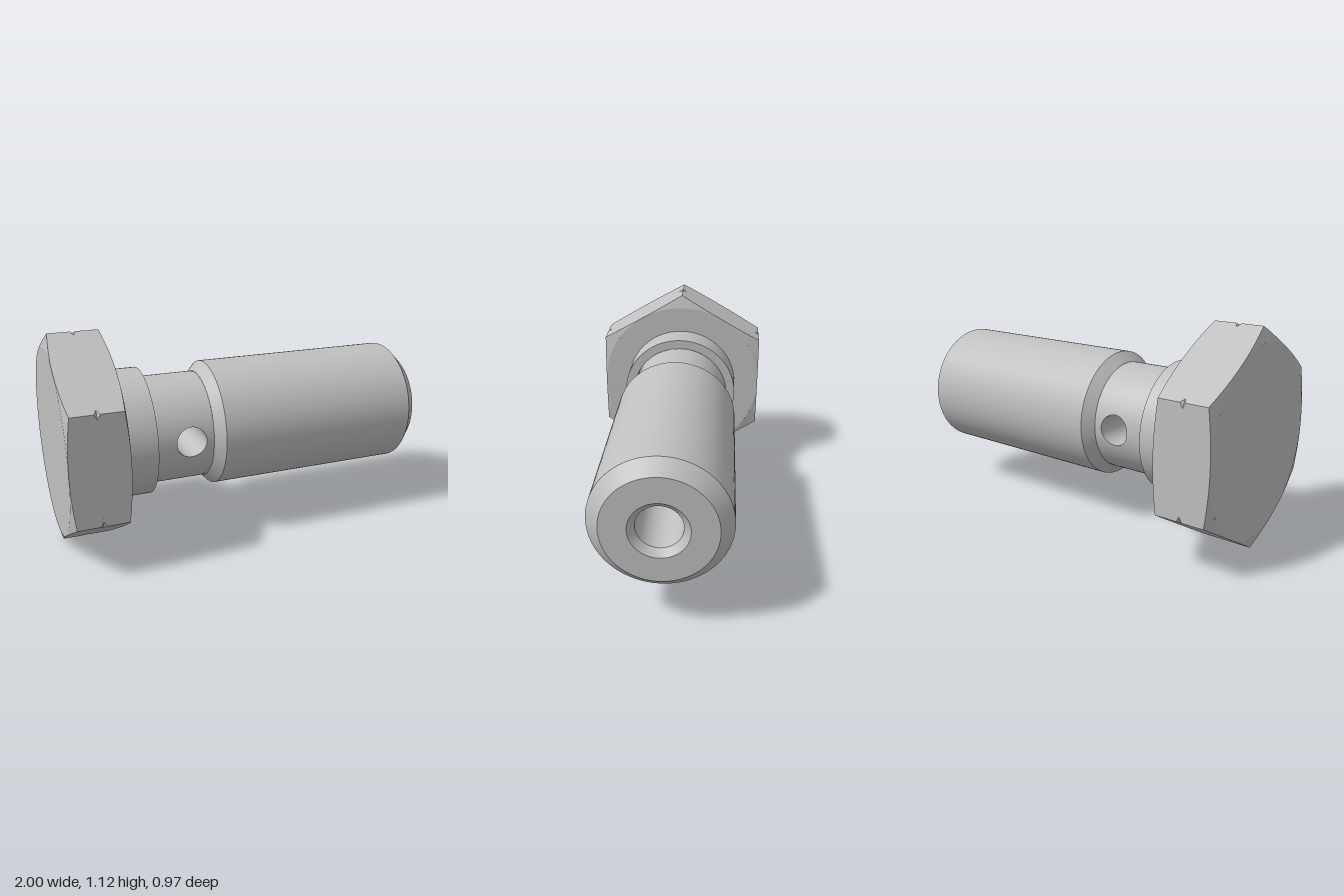
import * as THREE from 'three';

const AXIS_Y = 0.56;                       // height of the bolt axis
const APOTHEM = 0.485, GROOVE_R = 0.547;   // hex head
const HEAD_A = -1, HEAD_B = -0.705, GROOVE_X = -0.853;
const BODY_R = 0.337, NECK_R = 0.286;
const NECK_A = -0.53, NECK_B = -0.22;
const HOLE_X = -0.34, HOLE_R = 0.08;
const SEG = 96;

// Surface over columns x rows; its front side is (column direction) x (row direction).
// Without a normal rule every facet is flat.
function surface(cols, rows, point, normal) {
  const pos = [], nor = [];
  const add = (i, j) => {
    pos.push(...point(i, j));
    if (normal) nor.push(...normal(i, j));
  };
  for (let i = 0; i < cols; i++) {
    for (let j = 0; j < rows; j++) {
      add(i, j); add(i + 1, j); add(i + 1, j + 1);
      add(i, j); add(i + 1, j + 1); add(i, j + 1);
    }
  }
  const g = new THREE.BufferGeometry();
  g.setAttribute('position', new THREE.Float32BufferAttribute(pos, 3));
  if (normal) g.setAttribute('normal', new THREE.Float32BufferAttribute(nor, 3));
  else g.computeVertexNormals();
  return g;
}

export function createModel() {
  const steel = new THREE.MeshStandardMaterial({ color: 0xc0c0c0 });
  steel.name = 'steel';
  const bolt = new THREE.Group();
  bolt.name = 'hollowBolt';
  bolt.position.y = AXIS_Y;

  const add = (name, geometry, parent = bolt) => {
    const mesh = new THREE.Mesh(geometry, steel);
    mesh.name = name;
    parent.add(mesh);
  };

  // Turned part: one lathe band per [radius, x] step, so every edge stays sharp
  const turned = (name, profile) => {
    const part = new THREE.Group();
    part.name = name;
    for (let i = 0; i + 1 < profile.length; i++) {
      const pts = [profile[i], profile[i + 1]].map(([r, x]) => new THREE.Vector2(r, x));
      add(name + 'Band', new THREE.LatheGeometry(pts, SEG).rotateZ(-Math.PI / 2), part);
    }
    bolt.add(part);
  };

  // Hex head: chamfered at both ends, with a V groove that nicks the six corners
  const faceAngles = [-30, -28.8, -27.55, -24, -18, -12, -6, 0, 6, 12, 18, 24, 27.55, 28.8];
  const angles = [];
  for (let k = 0; k < 6; k++) {
    for (const d of faceAngles) angles.push([30 + 60 * k + d, d]);
  }
  angles.push([360, -30]);
  const headPoint = (i, j) => {
    const [deg, d] = angles[i];
    const a = THREE.MathUtils.degToRad(deg);
    const h = APOTHEM / Math.cos(THREE.MathUtils.degToRad(d));
    const c = (h - APOTHEM) * 0.27;
    const w = Math.max(0, h - GROOVE_R) * 1.1;
    const [r, x] = [
      [APOTHEM, HEAD_A], [h, HEAD_A + c], [h, GROOVE_X - w],
      [Math.min(h, GROOVE_R), GROOVE_X],
      [h, GROOVE_X + w], [h, HEAD_B - c], [APOTHEM, HEAD_B],
    ][j];
    return [x, r * Math.cos(a), r * Math.sin(a)];
  };
  add('hexHead', surface(angles.length - 1, 6, headPoint));
  turned('headEndFace', [[0, HEAD_A], [APOTHEM, HEAD_A]]);

  // Collar under the head, down to the neck
  turned('collar', [[APOTHEM, HEAD_B], [BODY_R, HEAD_B], [BODY_R, NECK_A], [NECK_R, NECK_A]]);

  // Neck: two half cylinders, each spread from the hole edge to the half's border
  const RINGS = 20;
  for (const s of [1, -1]) {
    const neckAt = (i, j) => {
      const a = -s * 2 * Math.PI * i / SEG, t = j / RINGS;
      const c = Math.cos(a), n = Math.sin(a);
      const m = Math.max(Math.abs(c), Math.abs(n));
      const x0 = HOLE_X + HOLE_R * c, th0 = Math.asin(HOLE_R * n / NECK_R);
      const x1 = (NECK_A + NECK_B) / 2 + (NECK_B - NECK_A) / 2 * c / m;
      const th1 = Math.PI / 2 * n / m;
      return [x0 + (x1 - x0) * t, th0 + (th1 - th0) * t];
    };
    add(s > 0 ? 'neckFront' : 'neckBack', surface(SEG, RINGS,
      (i, j) => {
        const [x, th] = neckAt(i, j);
        return [x, NECK_R * Math.sin(th), s * NECK_R * Math.cos(th)];
      },
      (i, j) => {
        const th = neckAt(i, j)[1];
        return [0, Math.sin(th), s * Math.cos(th)];
      }));
  }

  // Wall of the cross hole, trimmed to the neck
  const holeAngle = (i) => -2 * Math.PI * i / SEG;
  add('crossHole', surface(SEG, 1,
    (i, j) => {
      const y = HOLE_R * Math.sin(holeAngle(i));
      return [HOLE_X + HOLE_R * Math.cos(holeAngle(i)), y,
        (2 * j - 1) * Math.sqrt(NECK_R * NECK_R - y * y)];
    },
    (i) => [-Math.cos(holeAngle(i)), -Math.sin(holeAngle(i)), 0]));

  // Shank with chamfered ends
  turned('shank', [[NECK_R, NECK_B], [BODY_R, -0.17], [BODY_R, 0.932], [0.272, 1], [0.143, 1]]);

  // Countersunk bore with a drill-point bottom
  turned('bore', [[0.143, 1], [0.11, 0.967], [0.11, -0.193], [0, -0.259]]);

  return bolt;
}
